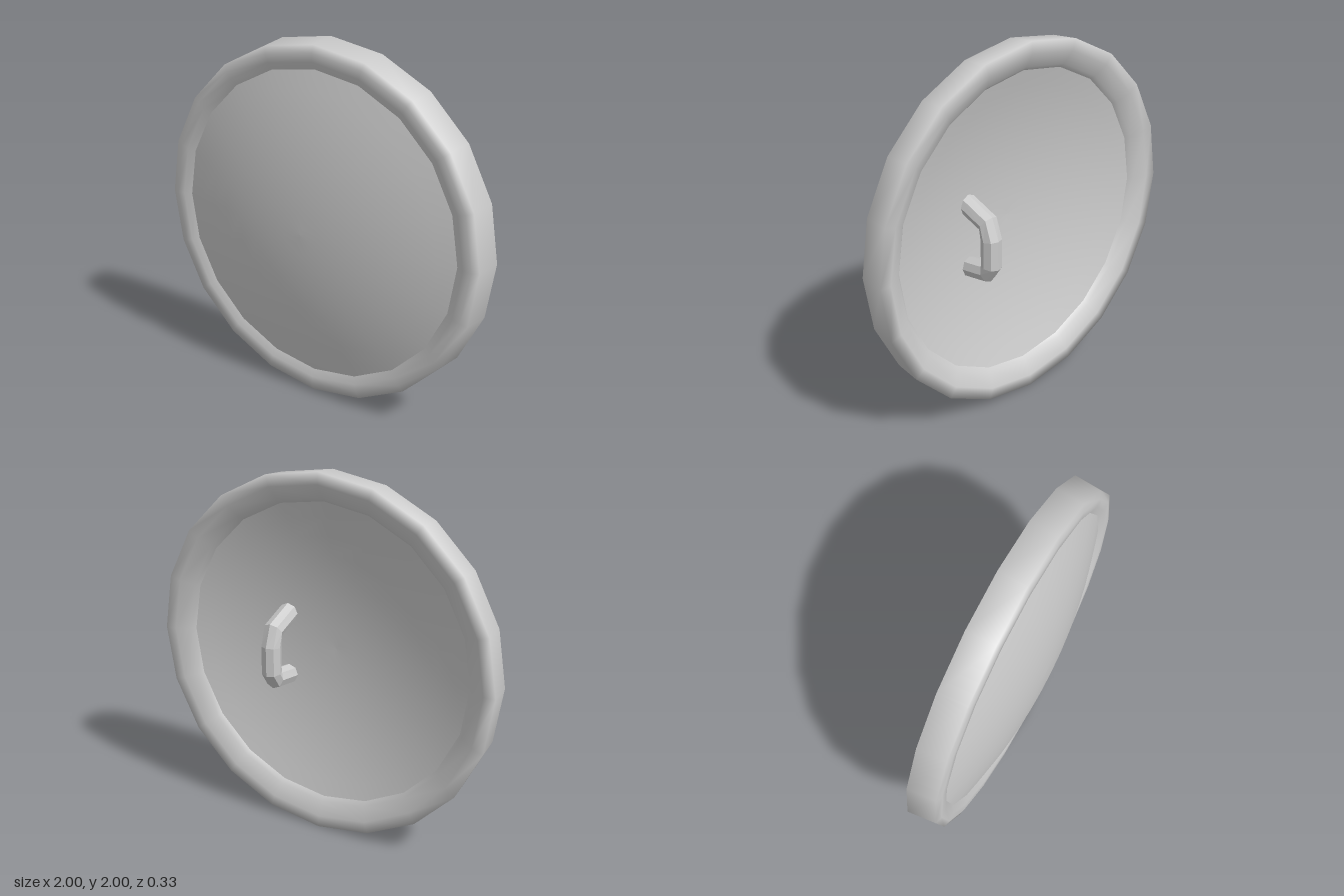
import * as THREE from 'three';

const SIDES = 20;

// Curve through straight segments, one tube ring per point
class Polyline extends THREE.Curve {
  constructor(points) {
    super();
    this.points = points;
  }
  getPoint(t) {
    const n = this.points.length - 1;
    const i = Math.min(Math.floor(t * n + 1e-9), n - 1);
    return this.points[i].clone().lerp(this.points[i + 1], t * n - i);
  }
  getPointAt(t) { return this.getPoint(t); }
  getTangentAt(t) { return this.getTangent(t); }
}

// Lathe whose axis runs along z; profile is [radius, z]
function turned(profile) {
  const points = profile.map(([r, z]) => new THREE.Vector2(r, z));
  return new THREE.LatheGeometry(points, SIDES).rotateX(Math.PI / 2);
}

// Points of a shallow bowl from its edge to its centre
function bowl(edge, height, curvature) {
  return Array.from({ length: 9 }, (_, i) => {
    const r = edge * (1 - i / 8);
    return [r, height - curvature * r * r];
  });
}

export function createModel() {
  const group = new THREE.Group();
  const add = (name, geometry, options = {}) => {
    const material = new THREE.MeshStandardMaterial({ color: 0xcccccc, side: THREE.DoubleSide, ...options });
    const mesh = new THREE.Mesh(geometry, material);
    mesh.name = name;
    mesh.position.y = 1;
    group.add(mesh);
  };

  // Rounded rim that wraps the edge of the face
  add('rim', turned([
    [0.835, -0.045], [0.86, -0.072], [0.935, -0.11], [1, -0.11],
    [0.985, 0.045], [0.945, 0.058], [0.9, 0.057], [0.845, 0.03],
  ]));

  // Thick domed face: convex front and hollow back
  add('faceFront', turned(bowl(0.87, 0.165, 0.173)));
  add('faceBack', turned(bowl(0.86, 0.082, 0.185)));

  // Grip on the back, its legs running into the face
  const path = [
    [1.165, 0.075], [1.105, -0.088], [1.02, -0.112],
    [0.87, -0.112], [0.825, -0.085], [0.8, 0.075],
  ].map(([y, z]) => new THREE.Vector3(0.29, y - 1, z));
  add('handle', new THREE.TubeGeometry(new Polyline(path), path.length - 1, 0.055, 8), { flatShading: true });

  return group;
}
